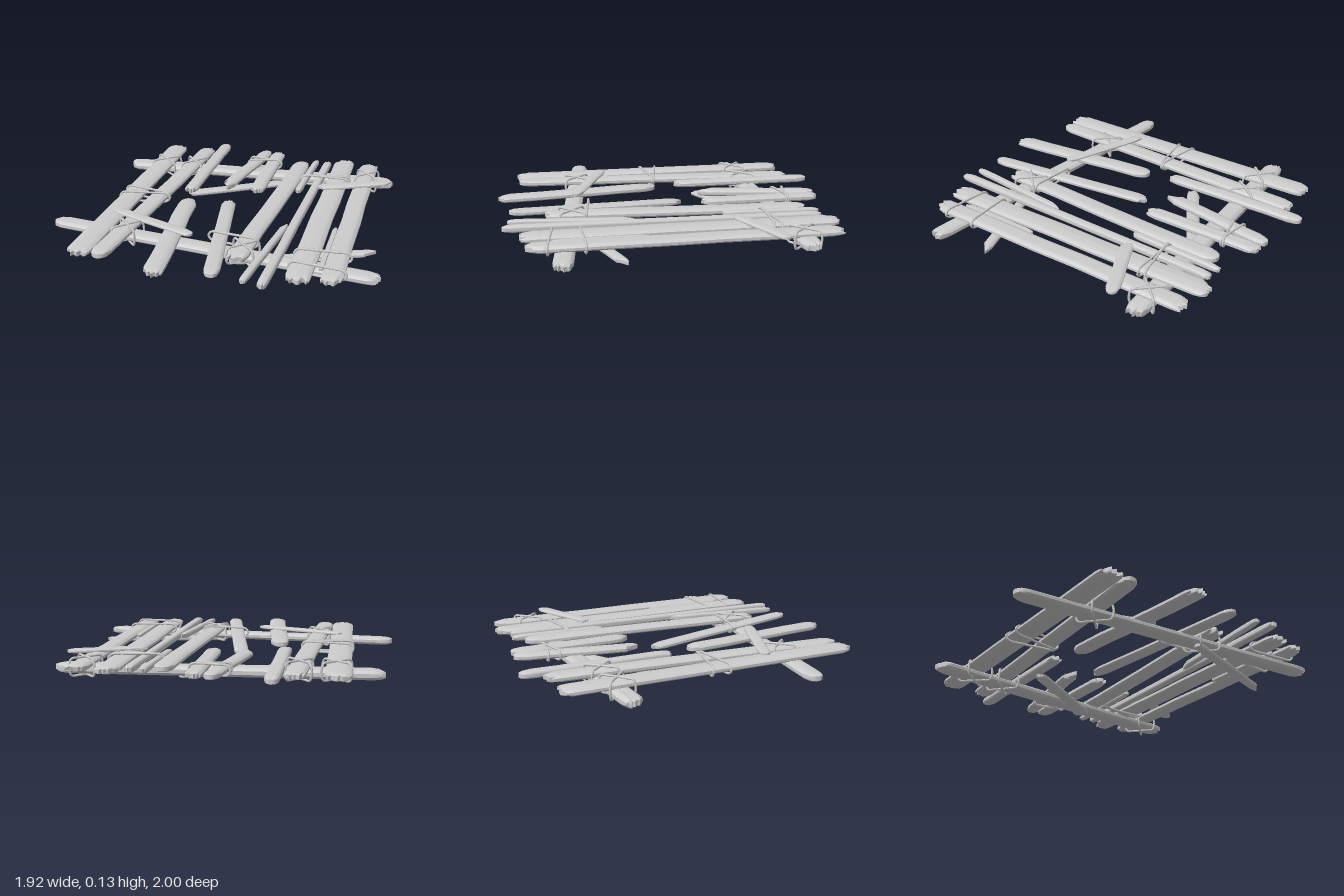
import * as THREE from 'three';
import { toCreasedNormals } from 'three/addons/utils/BufferGeometryUtils.js';

const wood = new THREE.MeshStandardMaterial({ color: 0xcccccc });
const COLS = 10;

function seeded(seed) {
  let s = seed;
  return () => (s = (s * 16807) % 2147483647) / 2147483647;
}

// How far each column stops short of the plank's tip: round, pointed or jagged
function endProfile(kind, width, rand) {
  return Array.from({ length: COLS + 1 }, (_, j) => {
    const u = (j / COLS) * 2 - 1;
    if (kind === 'round') return 0.5 * width * (1 - Math.sqrt(1 - u * u * 0.98));
    if (kind === 'point') return 1.1 * width * Math.abs(u - 0.3);
    return Math.min(0.05, width * 0.45) * rand() * (0.5 + 0.5 * Math.abs(u)) + 0.12 * width * u * u;
  });
}

// Rough board lofted between two points, with ridged grain and worn ends
function plank(name, from, to, width, thick, startKind, endKind, seed) {
  const rand = seeded(seed * 7919 + 13);
  for (let i = 0; i < 5; i++) rand();
  const a = new THREE.Vector3(...from);
  const b = new THREE.Vector3(...to);
  const len = a.distanceTo(b);
  const start = endProfile(startKind, width, rand);
  const end = endProfile(endKind, width, rand);
  const ridge = start.map(() => 1 + 0.16 * (rand() - 0.5));
  const lip = Math.min(0.07, len * 0.1);
  const rows = [0, 0.02, lip, len * 0.25, len * 0.4, len * 0.55, len * 0.75, len - lip, len - 0.02, len];
  const last = rows.length - 1;
  const ring = 2 * (COLS + 1);
  const pos = [];
  const index = [];
  rows.forEach((z, i) => {
    const edge = Math.min(i, last - i);
    const flat = [0.55, 0.85, 1][Math.min(edge, 2)];
    const half = (width / 2) * [0.88, 0.95, 1][Math.min(edge, 2)];
    const drift = edge > 1 ? (rand() - 0.5) * 0.06 * width : 0;
    const pull = [1, 0.95, 0.15, 0][Math.min(edge, 3)];
    for (let k = 0; k < ring; k++) {
      const j = k <= COLS ? k : ring - 1 - k;
      const u = (j / COLS) * 2 - 1;
      const h = (thick / 2) * flat * (1 - 0.65 * Math.abs(u) ** 5) * ridge[j];
      const shift = i < last / 2 ? start[j] : -end[j];
      pos.push(u * half + drift, k <= COLS ? h : -h, z + shift * pull);
    }
  });
  for (let i = 0; i < last; i++) {
    for (let k = 0; k < ring; k++) {
      const p = i * ring + k;
      const q = i * ring + ((k + 1) % ring);
      index.push(p, p + ring, q, q, p + ring, q + ring);
    }
  }
  // End caps join the top columns to the bottom ones
  const e = last * ring;
  for (let j = 0; j < COLS; j++) {
    const b0 = ring - 1 - j;
    index.push(j, j + 1, b0 - 1, j, b0 - 1, b0);
    index.push(e + j, e + b0 - 1, e + j + 1, e + j, e + b0, e + b0 - 1);
  }
  let geo = new THREE.BufferGeometry();
  geo.setAttribute('position', new THREE.Float32BufferAttribute(pos, 3));
  geo.setIndex(index);
  geo = toCreasedNormals(geo, 0.7);
  const along = b.clone().sub(a).normalize();
  const side = new THREE.Vector3(0, 1, 0).cross(along).normalize();
  const up = along.clone().cross(side);
  const mesh = new THREE.Mesh(geo, wood);
  mesh.name = name;
  mesh.quaternion.setFromRotationMatrix(new THREE.Matrix4().makeBasis(side, up, along));
  mesh.position.copy(a);
  return mesh;
}

// Closed rope loop standing on the line between two ground points
function ropeLoop(name, x0, z0, x1, z1, low, high) {
  const at = (t, y) => new THREE.Vector3(x0 + (x1 - x0) * t, y, z0 + (z1 - z0) * t);
  const mid = (low + high) / 2;
  const path = new THREE.CatmullRomCurve3([
    at(0.06, high - 0.004), at(0.3, high), at(0.7, high), at(0.94, high - 0.004), at(1, mid),
    at(0.94, low + 0.004), at(0.7, low), at(0.3, low), at(0.06, low + 0.004), at(0, mid),
  ], true, 'centripetal');
  const mesh = new THREE.Mesh(new THREE.TubeGeometry(path, 48, 0.007, 6, true), wood);
  mesh.name = name;
  return mesh;
}

export function createModel() {
  const model = new THREE.Group();
  const J = 'jagged', R = 'round', P = 'point';
  let seed = 1;

  // Cross rails and braces: x, y, z at each end, width, thickness, end styles
  [
    ['frontRail', [-0.96, 0.058, 0.45], [0.96, 0.055, 0.67], 0.105, 0.048, R, J],
    ['backRail', [-0.89, 0.055, -0.565], [0.9, 0.06, -0.65], 0.115, 0.055, J, J],
    ['backBrace', [-0.37, 0.016, -0.25], [0.22, 0.02, -0.6], 0.075, 0.03, J, R],
    ['frontBrace', [0.14, 0.025, 0.61], [0.91, 0.045, 0.34], 0.06, 0.03, R, P],
    ['frontTopStrip', [-0.635, 0.117, 0.325], [-0.095, 0.117, 0.535], 0.068, 0.024, R, R],
    ['backTopStrip', [0.46, 0.117, -0.325], [0.88, 0.12, -0.51], 0.075, 0.024, J, R],
  ].forEach((r) => model.add(plank(...r, seed++)));

  // Deck boards: x and z at the back end, x and z at the front end, width, end styles
  [
    [-0.64, -0.9, -0.64, 0.89, 0.135, J, J],
    [-0.42, -0.9, -0.52, 0.87, 0.108, J, R],
    [-0.32, -1.0, -0.32, -0.11, 0.08, R, J],
    [0.0, -0.94, -0.12, -0.22, 0.085, R, P],
    [0.085, -0.94, 0.085, -0.21, 0.09, J, J],
    [0.28, -0.79, 0.2, 0.73, 0.11, R, J],
    [0.365, -0.85, 0.34, -0.28, 0.042, J, J],
    [0.445, -0.84, 0.4, 0.97, 0.054, J, J],
    [0.555, -0.9, 0.56, 0.88, 0.13, J, J],
    [0.725, -0.87, 0.725, 0.85, 0.112, J, J],
    [0.655, 0.19, 0.655, 0.71, 0.03, J, J],
    [0.375, 0.22, 0.295, 0.94, 0.042, P, J],
    [-0.275, 0.02, -0.165, 1.0, 0.108, R, J],
  ].forEach(([x0, z0, x1, z1, w, s, e]) => {
    const thick = Math.min(0.042, w * 0.85);
    model.add(plank('deckBoard', [x0, 0.092, z0], [x1, 0.092, z1], w, thick, s, e, seed++));
  });
  model.add(plank('saggingBoard', [-0.055, 0.055, -0.11], [0.13, 0.098, 0.93], 0.085, 0.034, J, R, seed++));

  // Crossed lashings where boards meet the rails: centre and half spread
  [
    [-0.63, -0.57, 0.08, 0.07],
    [-0.43, -0.58, 0.07, 0.08],
    [0.73, -0.64, 0.07, 0.075],
    [-0.49, 0.5, 0.07, 0.075],
    [0.21, 0.575, 0.075, 0.075],
  ].forEach(([x, z, dx, dz]) => {
    for (const s of [1, -1]) {
      model.add(ropeLoop('crossLashing', x - dx, z - dz * s, x + dx, z + dz * s, 0.022, 0.119));
    }
  });

  // Wraps binding neighbouring boards: end points on the ground plane
  [
    [-0.715, -0.05, -0.405, 0.005],
    [-0.715, 0.06, -0.405, 0.015],
    [-0.085, -0.76, 0.14, -0.725],
    [-0.085, -0.69, 0.14, -0.74],
    [0.32, -0.5, 0.635, -0.55],
    [0.32, -0.515, 0.635, -0.505],
    [0.485, 0.55, 0.795, 0.535],
    [0.485, 0.695, 0.795, 0.735],
    [-0.02, 0.46, 0.275, 0.495],
  ].forEach((w) => model.add(ropeLoop('wrapLashing', ...w, 0.062, 0.119)));

  return model;
}
